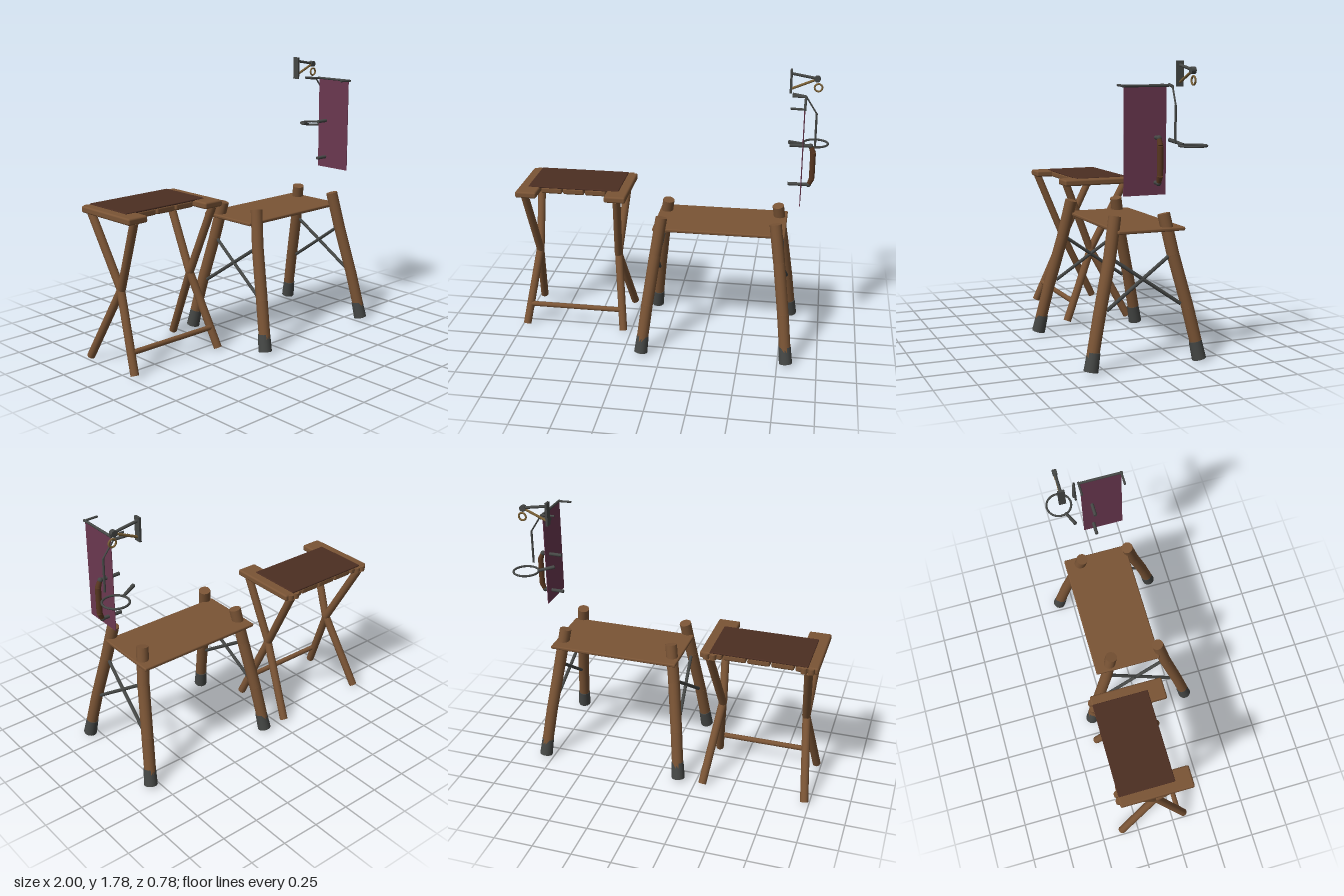
import * as THREE from 'three';
import { RoundedBoxGeometry } from 'three/addons/geometries/RoundedBoxGeometry.js';

const mat = (color, side = THREE.FrontSide) => new THREE.MeshStandardMaterial({ color, side });
const wood = mat(0x7a5435), leather = mat(0x4c2e22), metal = mat(0x454745);
const cloth = mat(0x6b3850, THREE.DoubleSide), grip = mat(0x573620), brass = mat(0x7a6036);
const V = (p) => new THREE.Vector3(...p);

function add(parent, name, geometry, material, pos = [0, 0, 0]) {
  const mesh = new THREE.Mesh(geometry, material);
  mesh.name = name;
  mesh.position.set(...pos);
  parent.add(mesh);
  return mesh;
}

// Round bar through a list of points; r0 at the first end, r1 at the last
function bar(parent, name, points, r0, material, r1 = r0, sides = 14) {
  const g = new THREE.Group();
  g.name = name;
  const n = points.length - 1;
  const radius = (i) => r0 + (r1 - r0) * i / n;
  for (let i = 0; i < n; i++) {
    const a = V(points[i]), b = V(points[i + 1]), d = b.clone().sub(a);
    const m = add(g, name + 'Section', new THREE.CylinderGeometry(radius(i + 1), radius(i), d.length(), sides), material);
    m.position.copy(a).add(b).multiplyScalar(0.5);
    m.quaternion.setFromUnitVectors(new THREE.Vector3(0, 1, 0), d.normalize());
    if (i > 0) add(g, name + 'Joint', new THREE.SphereGeometry(radius(i), sides, 10), material, points[i]);
  }
  parent.add(g);
  return g;
}

// Folding stool with crossed legs and a slatted seat
function foldingStool() {
  const g = new THREE.Group();
  g.name = 'foldingStool';
  const cx = -0.635;
  for (let i = -2; i <= 2; i++) {
    const end = Math.abs(i) === 2;
    const back = end ? -0.365 : -0.36, front = end ? 0.105 : 0;
    add(g, 'seatSlat', new RoundedBoxGeometry(0.14, 0.042, front - back, 2, 0.012), wood,
      [cx + i * 0.147, 0.966, (front + back) / 2]);
  }
  // Thin leather cover with rounded corners
  add(g, 'seatCover', new RoundedBoxGeometry(0.605, 0.012, 0.36, 2, 0.005), leather, [cx, 0.987, -0.182]);
  for (const s of [-1, 1]) {
    const xs = [0.335, 0.273, 0.305].map((d) => cx + s * d);
    bar(g, 'frontFootLeg', [[xs[0], 0.015, 0.085], [xs[1], 0.5, -0.115], [xs[2], 0.955, -0.355]], 0.026, wood);
    bar(g, 'backFootLeg', [[xs[0], 0.015, -0.36], [xs[1], 0.5, -0.105], [xs[2], 0.955, 0.078]], 0.026, wood);
    // Corner blocks at the back of the seat ends
    for (const dx of [-0.022, 0.022]) {
      add(g, 'seatEndKnob', new THREE.CylinderGeometry(0.02, 0.02, 0.035, 12), wood, [xs[2] + dx - s * 0.005, 0.965, -0.365]);
    }
  }
  bar(g, 'footRail', [[-0.95, 0.145, 0.04], [-0.32, 0.145, 0.04]], 0.017, wood);
  return g;
}

// Low bench with four splayed log legs
function logBench() {
  const g = new THREE.Group();
  g.name = 'logBench';
  const cx = 0.336;
  add(g, 'benchSeat', new RoundedBoxGeometry(0.845, 0.022, 0.43, 2, 0.008), wood, [cx, 0.801, -0.057]);
  for (const sx of [-1, 1]) {
    const x = (d) => cx + sx * d;
    for (const sz of [-1, 1]) {
      bar(g, 'benchLeg', [[x(0.361), 0.89, sz * 0.156], [x(0.395), 0.65, sz * 0.203],
        [x(0.436), 0.33, sz * 0.283], [x(0.466), 0.05, sz * 0.345]], 0.038, wood, 0.037);
      bar(g, 'legCap', [[x(0.458), 0.125, sz * 0.326], [x(0.469), 0.016, sz * 0.348]], 0.039, metal, 0.043);
      // One diagonal of the cross brace between front and back legs
      bar(g, 'crossBrace', [[x(0.397), 0.64, sz * 0.175], [x(0.435), 0.357, sz * -0.235]], 0.011, metal, 0.011, 10);
    }
  }
  return g;
}

// Cloth panel hung from a rod on two arms
function hangingCloth() {
  const g = new THREE.Group();
  g.name = 'hangingCloth';
  add(g, 'clothPanel', new THREE.BoxGeometry(0.004, 0.615, 0.262), cloth, [0.838, 1.332, 0.033]);
  bar(g, 'clothRod', [[0.84, 1.643, 0.175], [0.84, 1.643, -0.11]], 0.008, metal);
  for (const z of [0.165, -0.104]) {
    bar(g, 'clothArm', [[0.755, 1.646, z], [0.848, 1.643, z]], 0.007, metal);
  }
  return g;
}

// Pull handle with a thick grip
function pullHandle() {
  const g = new THREE.Group();
  g.name = 'pullHandle';
  const z = -0.032;
  for (const [y, s] of [[1.352, 1], [1.096, -1]]) {
    bar(g, 'handleArm', [[0.753, y, z], [0.885, y, z]], 0.011, metal);
    add(g, 'handleJoint', new THREE.SphereGeometry(0.016, 12, 10), metal, [0.884, y, z]);
    bar(g, 'gripEnd', [[0.902, 1.224 + s * 0.085, z], [0.885, y, z]], 0.018, grip, 0.013);
  }
  bar(g, 'handleGrip', [[0.902, 1.14, z], [0.902, 1.308, z]], 0.018, grip);
  return g;
}

// Bent rod hook and flat ring holder
function hookAndRing() {
  const g = new THREE.Group();
  g.name = 'hookAndRing';
  bar(g, 'hookArm', [[0.757, 1.646, -0.155], [0.842, 1.637, -0.135]], 0.009, metal);
  bar(g, 'hookRod', [[0.842, 1.637, -0.135], [0.91, 1.535, -0.122]], 0.005, metal);
  bar(g, 'hookDrop', [[0.91, 1.535, -0.122], [0.911, 1.32, -0.12]], 0.007, metal);
  const ring = add(g, 'holderRing', new THREE.TorusGeometry(0.079, 0.007, 10, 40), metal, [0.913, 1.305, -0.232]);
  ring.rotation.x = Math.PI / 2;
  bar(g, 'holderArm', [[0.745, 1.328, -0.165], [0.845, 1.306, -0.205]], 0.012, metal, 0.009);
  return g;
}

// Small wall bracket with a hanging ring
function wallBracket() {
  const g = new THREE.Group();
  g.name = 'wallBracket';
  const z = -0.23;
  add(g, 'wallPlate', new THREE.BoxGeometry(0.014, 0.148, 0.044), metal, [0.741, 1.708, z]);
  bar(g, 'bracketArm', [[0.745, 1.757, z], [0.905, 1.73, z]], 0.009, metal);
  bar(g, 'bracketStrut', [[0.745, 1.66, z], [0.905, 1.728, z]], 0.008, brass);
  const boss = add(g, 'bracketBoss', new THREE.CylinderGeometry(0.02, 0.02, 0.028, 16), metal, [0.903, 1.728, z]);
  boss.rotation.x = Math.PI / 2;
  add(g, 'hangingRing', new THREE.TorusGeometry(0.024, 0.006, 10, 24), brass, [0.912, 1.672, z]);
  return g;
}

export function createModel() {
  const model = new THREE.Group();
  model.name = 'campFurniture';
  model.add(foldingStool(), logBench(), hangingCloth(), pullHandle(), hookAndRing(), wallBracket());
  return model;
}
